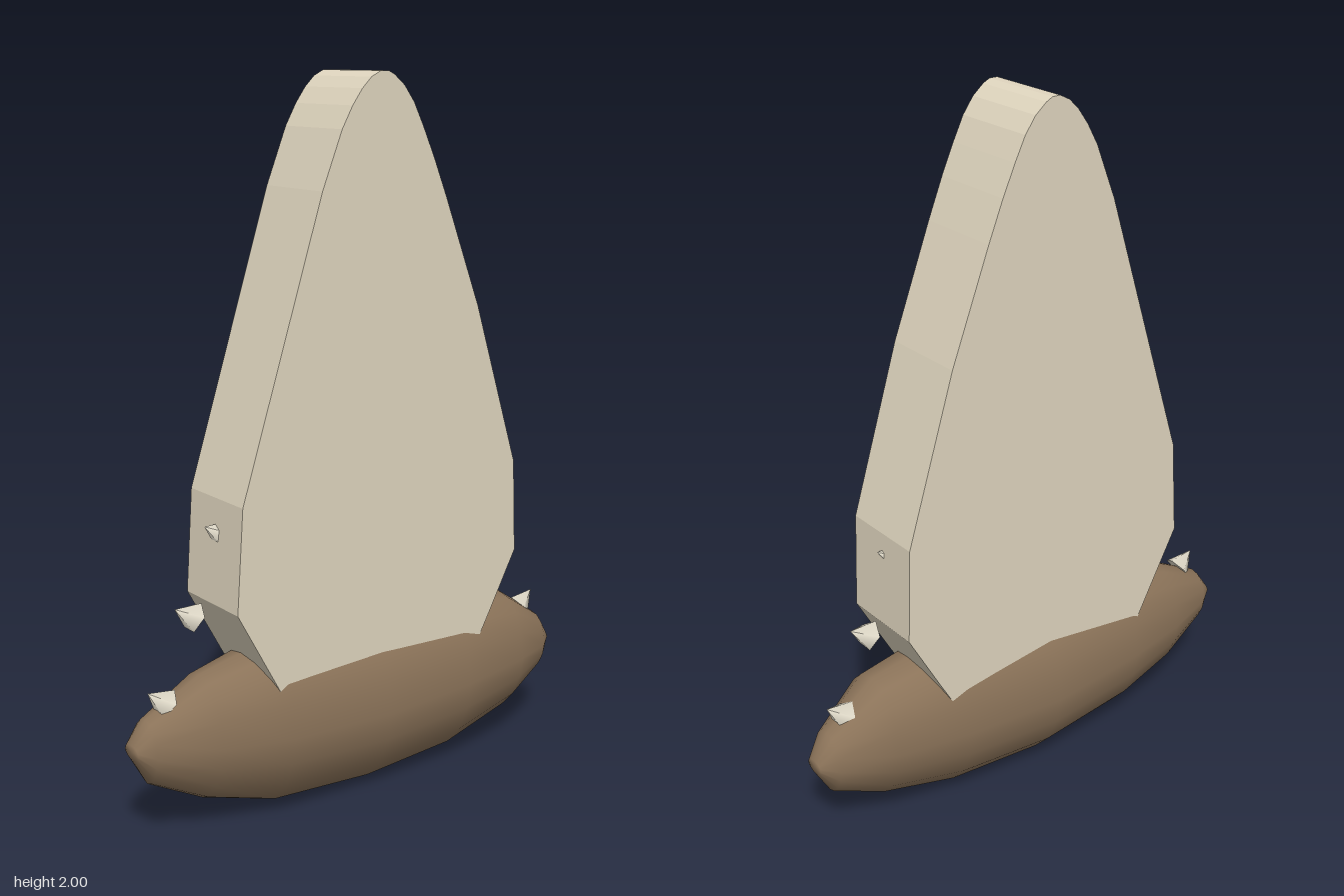
import * as THREE from 'three';

const bone = new THREE.MeshStandardMaterial({ color: 0xe0d6bf });
bone.name = 'bone';
const spikeIvory = new THREE.MeshStandardMaterial({ color: 0xdfd9c8 });
spikeIvory.name = 'spikeIvory';
const earthBrown = new THREE.MeshStandardMaterial({ color: 0x8b7359 });
earthBrown.name = 'earthBrown';

// Tall slab with a rounded tip, narrowing into the mound
function makeSlab() {
  const outline = [
    [-0.3, 0.31], [0.3, 0.29], [0.39, 0.45], [0.488, 0.63], [0.476, 0.9], [0.328, 1.365],
    [0.21, 1.667], [0.165, 1.775], [0.127, 1.857], [0.095, 1.92], [0.063, 1.963], [0.03, 1.99], [0.01, 2],
    [-0.015, 2], [-0.045, 1.985], [-0.074, 1.957], [-0.105, 1.915], [-0.138, 1.857],
    [-0.2, 1.705], [-0.455, 0.92], [-0.476, 0.635], [-0.376, 0.45],
  ];
  const shape = new THREE.Shape(outline.map(([x, y]) => new THREE.Vector2(x, y)));
  const geometry = new THREE.ExtrudeGeometry(shape, { depth: 0.25, bevelEnabled: false });
  geometry.translate(0, 0, -0.125);
  const slab = new THREE.Mesh(geometry, bone);
  slab.name = 'slab';
  return slab;
}

// Lumpy mound lofted along x: [x, bottom, top, back, front]
function makeMound() {
  const stations = [
    [-0.73, 0.26, 0.3, -0.035, 0.035],
    [-0.687, 0.18, 0.36, -0.062, 0.06],
    [-0.52, 0.09, 0.445, -0.115, 0.11],
    [-0.32, 0.028, 0.495, -0.148, 0.156],
    [0, 0.005, 0.5, -0.17, 0.166],
    [0.3, 0.026, 0.5, -0.15, 0.156],
    [0.53, 0.09, 0.465, -0.12, 0.128],
    [0.685, 0.17, 0.36, -0.068, 0.06],
    [0.73, 0.25, 0.29, -0.037, 0.025],
  ];
  const sides = 16;
  const positions = [];
  const index = [];
  const power = (v, p) => Math.sign(v) * Math.pow(Math.abs(v), p);
  for (const [x, bottom, top, back, front] of stations) {
    const midY = (bottom + top) / 2, midZ = (back + front) / 2;
    for (let j = 0; j < sides; j++) {
      const angle = (j / sides) * Math.PI * 2;
      // Fuller shoulders above, more pointed keel below
      const p = Math.sin(angle) >= 0 ? 0.9 : 1.15;
      positions.push(
        x,
        midY + power(Math.sin(angle), p) * (top - bottom) / 2,
        midZ + power(Math.cos(angle), p) * (front - back) / 2,
      );
    }
  }
  for (let i = 0; i < stations.length - 1; i++) {
    for (let j = 0; j < sides; j++) {
      const a = i * sides + j, b = i * sides + (j + 1) % sides;
      const c = a + sides, d = b + sides;
      index.push(a, c, b, b, c, d);
    }
  }
  // End caps
  for (const end of [0, stations.length - 1]) {
    const [x, bottom, top, back, front] = stations[end];
    const centre = positions.length / 3;
    positions.push(x, (bottom + top) / 2, (back + front) / 2);
    for (let j = 0; j < sides; j++) {
      const a = end * sides + j, b = end * sides + (j + 1) % sides;
      if (end === 0) index.push(centre, a, b);
      else index.push(centre, b, a);
    }
  }
  const geometry = new THREE.BufferGeometry();
  geometry.setAttribute('position', new THREE.Float32BufferAttribute(positions, 3));
  geometry.setIndex(index);
  geometry.computeVertexNormals();
  const mound = new THREE.Mesh(geometry, earthBrown);
  mound.name = 'mound';
  return mound;
}

// Mirrored five-sided spikes pointing outward and up: [x, y, tilt in degrees]
function makeSpikes() {
  const spikes = new THREE.Group();
  spikes.name = 'spikes';
  const places = [[0.65, 0.41, 38], [0.56, 0.625, 31], [0.463, 0.832, 29]];
  for (const side of [1, -1]) {
    for (const [x, y, tilt] of places) {
      const geometry = new THREE.ConeGeometry(0.042, 0.07, 5, 1, false, -side * Math.PI / 2);
      const spike = new THREE.Mesh(geometry, spikeIvory);
      spike.name = side > 0 ? 'leftSpike' : 'rightSpike';
      spike.position.set(side * x, y, 0);
      spike.rotation.z = side * THREE.MathUtils.degToRad(tilt - 90);
      spikes.add(spike);
    }
  }
  return spikes;
}

export function createModel() {
  const model = new THREE.Group();
  model.name = 'spikedStandingSlab';
  model.add(makeSlab(), makeMound(), makeSpikes());
  return model;
}
